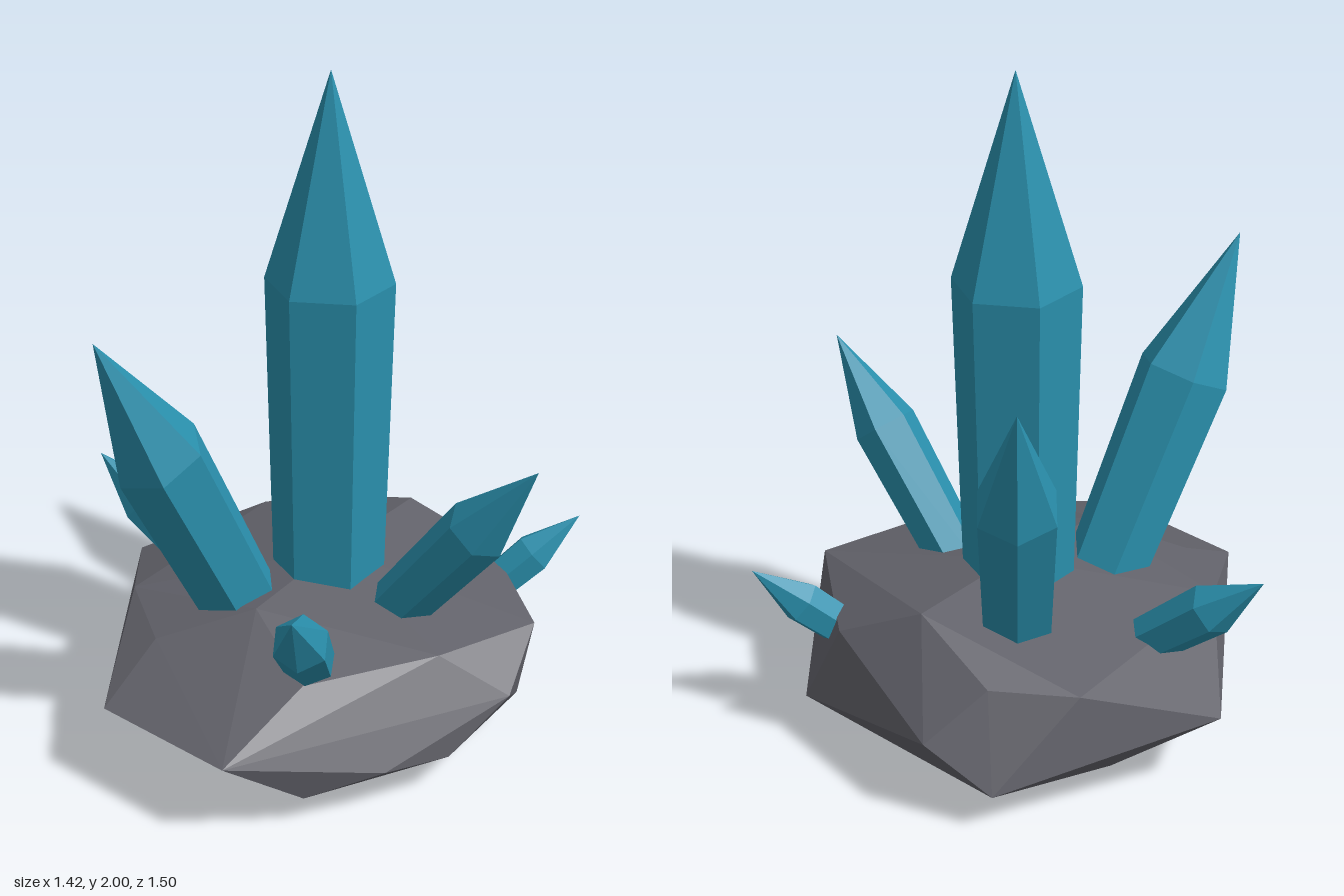
import * as THREE from 'three';
import { ConvexGeometry } from 'three/addons/geometries/ConvexGeometry.js';

const rockMaterial = new THREE.MeshStandardMaterial({ color: 0x62626a, flatShading: true });
const crystalMaterial = new THREE.MeshStandardMaterial({ color: 0x2a90ad, flatShading: true });

// Six-sided shaft, slightly wider at the shoulder, ending in a point.
function crystal(name, base, tip, radius, shoulder, yaw) {
  const from = new THREE.Vector3(...base);
  const axis = new THREE.Vector3(...tip).sub(from);
  const length = axis.length();
  const sunk = 0.12; // root hidden in the rock
  const profile = [
    [0, -sunk], [radius * 0.87, -sunk], [radius, length * shoulder], [0, length],
  ].map(([r, y]) => new THREE.Vector2(r, y));
  const mesh = new THREE.Mesh(new THREE.LatheGeometry(profile, 6), crystalMaterial);
  mesh.name = name;
  mesh.position.copy(from);
  // Turn towards the lean, then tilt, keeping one edge in the plane of the lean.
  mesh.rotation.order = 'YXZ';
  mesh.rotation.y = yaw ?? Math.atan2(axis.x, axis.z);
  mesh.rotation.x = Math.atan2(Math.hypot(axis.x, axis.z), axis.y);
  return mesh;
}

export function createModel() {
  const group = new THREE.Group();
  group.name = 'crystalCluster';

  // Rough boulder, layer by layer
  const layers = [
    // crown
    [[0.5, 0.5, 0.03], [0.1, 0.5, 0.03], [-0.27, 0.47, 0.03]],
    // upper slope
    [[0.28, 0.38, 0.63], [0.58, 0.38, 0.28], [0.55, 0.39, -0.26], [0.39, 0.37, -0.46],
      [-0.28, 0.38, -0.43], [-0.45, 0.37, -0.2], [-0.4, 0.38, 0.3], [-0.05, 0.39, 0.52]],
    // widest edge
    [[0.08, 0.25, 0.68], [0.62, 0.25, 0.23], [0.71, 0.25, -0.16], [0.08, 0.25, -0.72],
      [-0.68, 0.25, -0.2], [-0.71, 0.25, 0.26]],
    // lower slope
    [[-0.12, 0.12, 0.61], [0.28, 0.12, 0.58], [0.62, 0.13, 0.39], [0.64, 0.12, -0.35],
      [0.3, 0.11, -0.5], [-0.1, 0.11, -0.52], [-0.47, 0.11, -0.34], [-0.5, 0.09, 0.38],
      [-0.32, 0.14, 0.53]],
    // underside
    [[-0.05, 0.02, 0.37], [0.35, 0.05, 0.3], [0.35, 0.05, -0.25], [-0.05, 0, -0.32],
      [-0.28, 0.05, 0.03]],
  ];
  const points = layers.flat().map((p) => new THREE.Vector3(...p));
  const rock = new THREE.Mesh(new ConvexGeometry(points), rockMaterial);
  rock.name = 'rockBase';
  group.add(rock);

  // Crystals: name, base, tip, radius, shoulder height along the length
  group.add(
    crystal('mainCrystal', [0.075, 0.42, 0.03], [0.075, 2, 0.03], 0.187, 0.608, Math.PI / 2),
    crystal('tallRightCrystal', [-0.18, 0.42, -0.11], [-0.63, 1.37, -0.23], 0.14, 0.58),
    crystal('tallLeftCrystal', [0.27, 0.42, -0.13], [0.56, 1.29, -0.38], 0.124, 0.58),
    crystal('frontCrystal', [0.075, 0.42, 0.29], [0.075, 1, 0.745], 0.097, 0.58),
    crystal('smallRightCrystal', [-0.3, 0.38, 0.25], [-0.61, 0.73, 0.425], 0.083, 0.55),
    crystal('smallLeftCrystal', [0.49, 0.32, 0.36], [0.675, 0.53, 0.53], 0.066, 0.45),
    crystal('backCrystal', [0, 0.37, -0.43], [-0.06, 0.64, -0.75], 0.08, 0.52),
  );
  return group;
}
